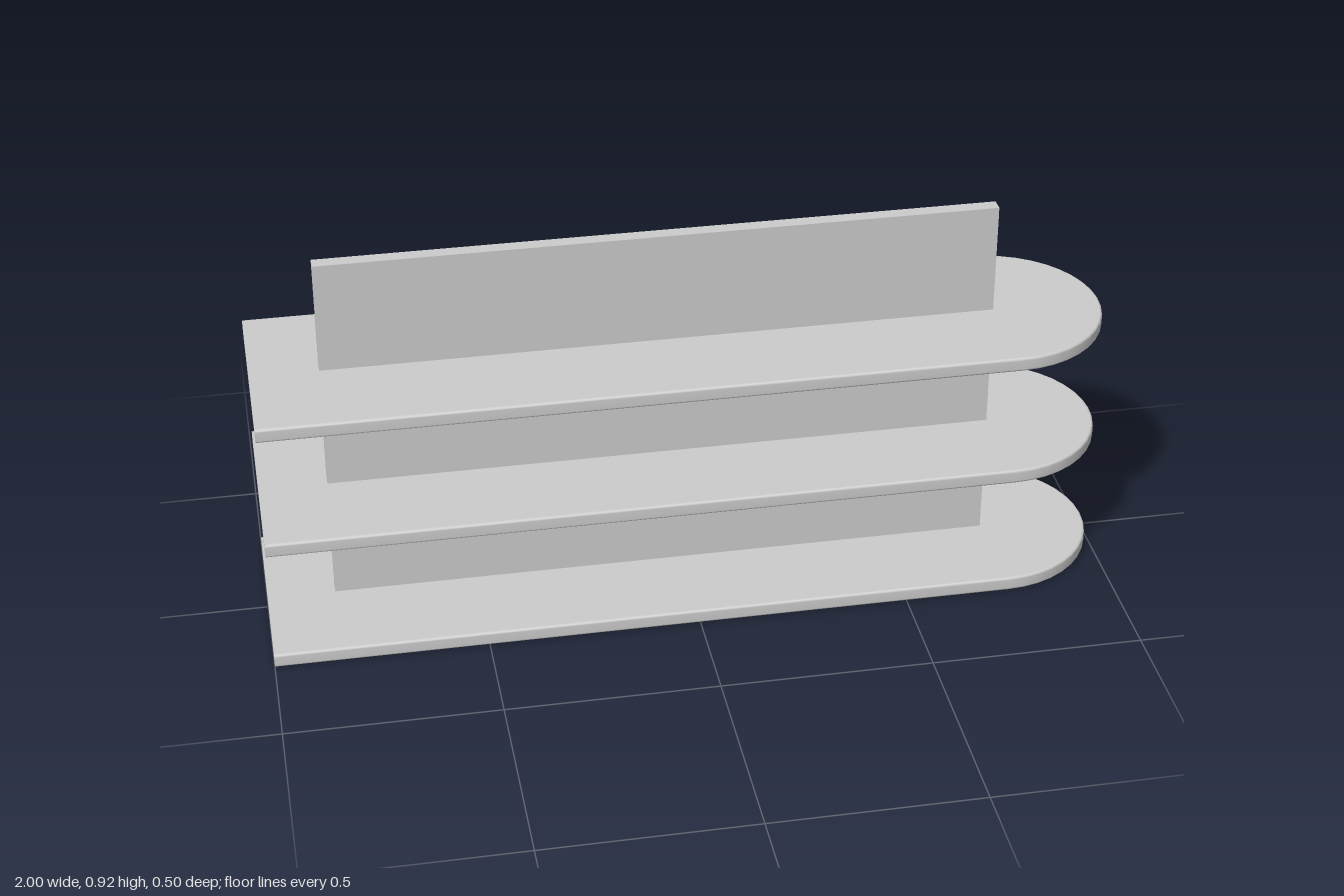
import * as THREE from 'three';
import { mergeGeometries } from 'three/addons/utils/BufferGeometryUtils.js';

const HALF = 0.25, THICK = 0.034, ROUND = 0.006, ARC_STEPS = 20, EDGE_STEPS = 3;

// Outline of a shelf pulled in by d: square at -x, half round at +x
function outline(d, y) {
  const r = HALF - d;
  const points = [new THREE.Vector3(-1, y, r)];
  for (let i = 0; i <= ARC_STEPS; i++) {
    const a = Math.PI * (0.5 - i / ARC_STEPS);
    points.push(new THREE.Vector3(1 - HALF + r * Math.cos(a), y, r * Math.sin(a)));
  }
  points.push(new THREE.Vector3(-1, y, -r));
  return points;
}

function surface(points, index) {
  const g = new THREE.BufferGeometry().setFromPoints(points);
  g.setIndex(index);
  g.computeVertexNormals();
  return g;
}

function shelfGeometry() {
  // Stacked outlines following a softly rounded edge
  const rings = [];
  for (const top of [0, 1]) {
    for (let i = 0; i <= EDGE_STEPS; i++) {
      const a = (i / EDGE_STEPS + top) * Math.PI / 2;
      const y = (top ? THICK - ROUND : ROUND) - ROUND * Math.cos(a);
      rings.push(outline(ROUND * (1 - Math.sin(a)), y));
    }
  }
  const n = rings[0].length, last = rings.length - 1;

  // Smooth edge band
  const band = [];
  for (let j = 0; j < last; j++) {
    for (let i = 0; i < n - 1; i++) {
      const a = j * n + i, b = a + n;
      band.push(a, a + 1, b + 1, a, b + 1, b);
    }
  }

  // Flat top and bottom
  const up = [], down = [];
  for (let i = 1; i < n - 1; i++) {
    up.push(0, i, i + 1);
    down.push(0, i + 1, i);
  }

  // Flat square end
  const endPoints = rings.flatMap((r) => [r[0], r[n - 1]]);
  const end = [];
  for (let j = 0; j < last; j++) {
    const a = 2 * j;
    end.push(a, a + 2, a + 3, a, a + 3, a + 1);
  }

  return mergeGeometries([
    surface(rings.flat(), band),
    surface(rings[last], up),
    surface(rings[0], down),
    surface(endPoints, end),
  ]);
}

export function createModel() {
  const model = new THREE.Group();
  model.name = 'shelfUnit';
  const material = new THREE.MeshStandardMaterial({ color: 0xcccccc });

  // Three identical shelves
  const geometry = shelfGeometry();
  ['lowerShelf', 'middleShelf', 'upperShelf'].forEach((name, i) => {
    const shelf = new THREE.Mesh(geometry, material);
    shelf.name = name;
    shelf.position.y = 0.002 + i * 0.305;
    model.add(shelf);
  });

  // Upright panel running through every shelf
  const panel = new THREE.Mesh(new THREE.BoxGeometry(1.58, 0.915, 0.033), material);
  panel.name = 'centrePanel';
  panel.position.set(-0.05, 0.4575, 0);
  model.add(panel);

  return model;
}
